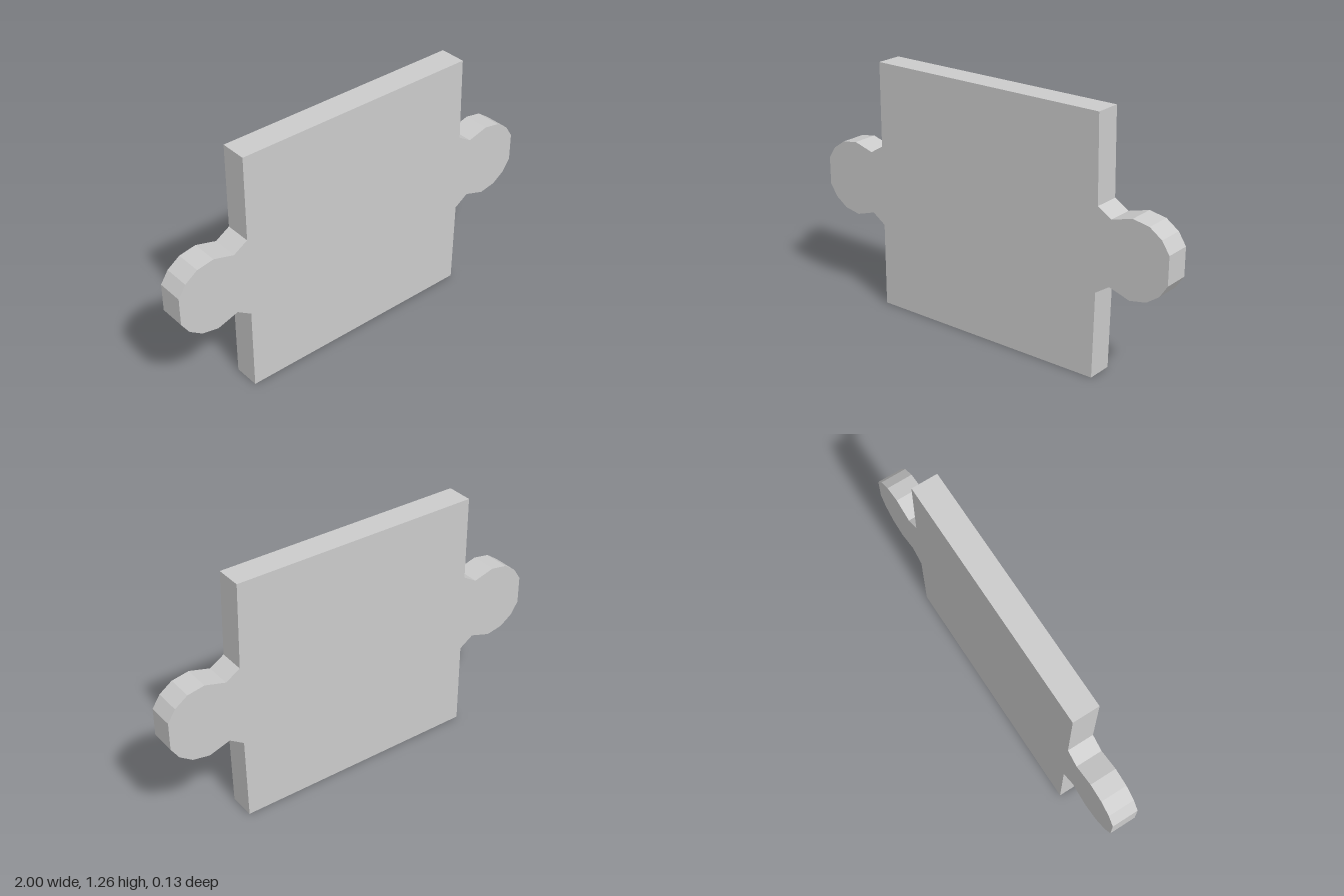
import * as THREE from 'three';

const HEIGHT = 1.256, DEPTH = 0.132;

// Outline of one connector knob, bottom to top, on the +x side
const knob = [
  [0.634, 0.425], [0.706, 0.473], [0.812, 0.439], [0.897, 0.455], [0.961, 0.5], [1, 0.56],
  [1, 0.7], [0.961, 0.76], [0.897, 0.805], [0.812, 0.82], [0.706, 0.79], [0.634, 0.834],
];

export function createModel() {
  const group = new THREE.Group();
  group.name = 'puzzlePiece';

  // Square body with a knob on each side; the +x edge tapers slightly to the corners
  const mirrored = knob.map(([x, y]) => [-x, y]).reverse();
  const outline = [
    [-0.634, 0], [0.626, 0], ...knob,
    [0.626, HEIGHT], [-0.634, HEIGHT], ...mirrored,
  ];
  const shape = new THREE.Shape(outline.map(([x, y]) => new THREE.Vector2(x, y)));
  const geometry = new THREE.ExtrudeGeometry(shape, { depth: DEPTH, bevelEnabled: false });
  geometry.translate(0, 0, -DEPTH / 2);

  const material = new THREE.MeshStandardMaterial({ color: 0xcccccc, flatShading: true });
  const plate = new THREE.Mesh(geometry, material);
  plate.name = 'plate';
  group.add(plate);
  return group;
}
